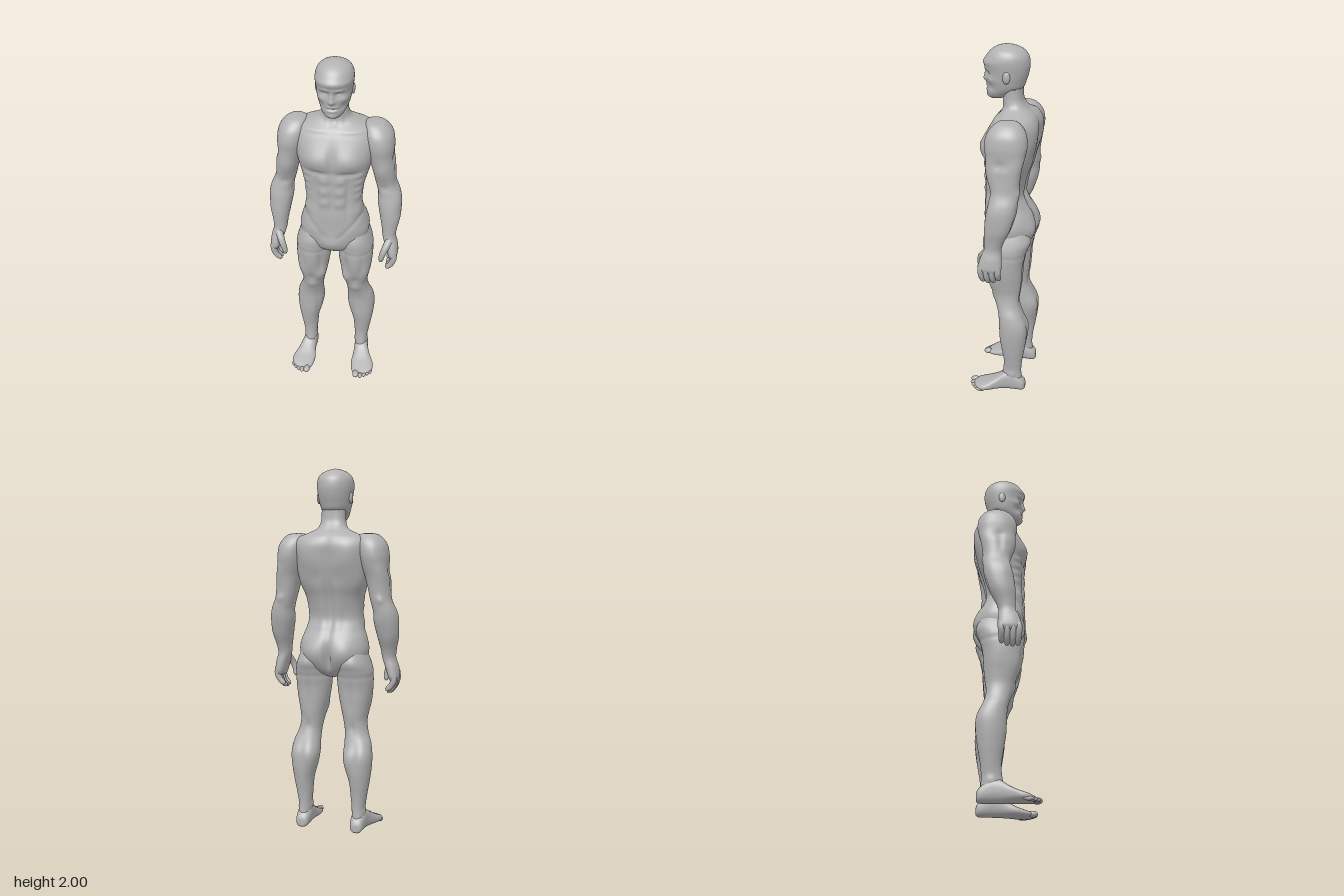
import * as THREE from 'three';
import { mergeVertices } from 'three/addons/utils/BufferGeometryUtils.js';

const skin = new THREE.MeshStandardMaterial({ color: 0xb2b2b2 });
skin.name = 'plain grey';

const spline = (a, b, c, d, t) =>
  0.5 * (2 * b + (c - a) * t + (2 * a - 5 * b + 4 * c - d) * t * t + (3 * b - a - 3 * c + d) * t * t * t);

// Loft through rows [y, centreX, halfWidth, frontZ, backZ].
// Bumps [x, y, z, rx, ry, rz, amount] push the skin out (or in) like muscles.
function loft(rows, { bumps = [], around = 64, steps = 6, power = 0.9 } = {}) {
  if (rows[0][0] > rows[rows.length - 1][0]) rows = [...rows].reverse();
  const last = rows.length - 1, pos = [], index = [];
  const at = (i) => rows[Math.min(last, Math.max(0, i))];
  const rings = last * steps;
  const bend = (v) => Math.sign(v) * Math.abs(v) ** power;
  for (let r = 0; r <= rings; r++) {
    const i = Math.min(last - 1, Math.floor(r / steps)), t = r / steps - i;
    const [y, cx, w, f, b] = at(i).map((_, k) => spline(at(i - 1)[k], at(i)[k], at(i + 1)[k], at(i + 2)[k], t));
    const cz = (f + b) / 2, d = (f - b) / 2;
    for (let j = 0; j < around; j++) {
      const a = (j / around) * Math.PI * 2;
      let dx = w * bend(Math.cos(a)), dz = d * bend(Math.sin(a));
      let push = 0;
      for (const [bx, by, bz, rx, ry, rz, amount] of bumps) {
        const q = ((Math.abs(cx + dx) - bx) / rx) ** 2 + ((y - by) / ry) ** 2 + ((cz + dz - bz) / rz) ** 2;
        if (q < 9) push += amount * Math.exp(-q);
      }
      const s = 1 + push / (Math.hypot(dx, dz) || 1);
      pos.push(cx + dx * s, y, cz + dz * s);
      if (r < rings) {
        const n = (j + 1) % around, A = r * around + j, B = r * around + n;
        index.push(A, A + around, B, B, A + around, B + around);
      }
    }
  }
  // Close both ends
  for (const [row, start, top] of [[rows[0], 0, false], [rows[last], rings * around, true]]) {
    const c = pos.length / 3;
    pos.push(row[1], row[0], (row[3] + row[4]) / 2);
    for (let j = 0; j < around; j++) {
      const A = start + j, B = start + (j + 1) % around;
      index.push(...(top ? [c, B, A] : [c, A, B]));
    }
  }
  const g = new THREE.BufferGeometry();
  g.setAttribute('position', new THREE.Float32BufferAttribute(pos, 3));
  g.setIndex(index);
  g.computeVertexNormals();
  return g;
}

// Apply a reflection and turn the faces outward again
function reflect(geometry, matrix) {
  const g = geometry.clone().applyMatrix4(matrix), ix = g.index.array;
  for (let i = 0; i < ix.length; i += 3) [ix[i], ix[i + 1]] = [ix[i + 1], ix[i]];
  g.computeVertexNormals();
  return g;
}

// Rounded finger along a curve, tapering from r0 to r1
function finger(points, r0, r1) {
  const curve = new THREE.CatmullRomCurve3(points.map((p) => new THREE.Vector3(...p)));
  const n = 18, m = 12, g = new THREE.TubeGeometry(curve, n, 1, m), p = g.attributes.position;
  const v = new THREE.Vector3();
  for (let i = 0; i <= n; i++) {
    const t = i / n, c = curve.getPointAt(t);
    const cap = t > 0.82 ? Math.sqrt(Math.max(0.0004, 1 - ((t - 0.82) / 0.18) ** 2)) : 1;
    for (let j = 0; j <= m; j++) {
      const k = i * (m + 1) + j;
      v.fromBufferAttribute(p, k).sub(c).multiplyScalar((r0 + (r1 - r0) * t) * cap).add(c);
      p.setXYZ(k, v.x, v.y, v.z);
    }
  }
  g.deleteAttribute('uv');
  g.deleteAttribute('normal');
  const merged = mergeVertices(g, 1e-5);
  merged.computeVertexNormals();
  return merged;
}

function ellipsoid(x, y, z, rx, ry, rz) {
  return new THREE.SphereGeometry(1, 20, 14).scale(rx, ry, rz).translate(x, y, z);
}

export function createModel() {
  const model = new THREE.Group();
  model.name = 'muscular figure';
  const add = (name, g) => {
    const mesh = new THREE.Mesh(g, skin);
    mesh.name = name;
    model.add(mesh);
  };
  const flipX = new THREE.Matrix4().makeScale(-1, 1, 1);
  const pair = (name, g) => {
    add('left ' + name, g);
    add('right ' + name, reflect(g, flipX));
  };

  // Torso: chest, abdomen, back, hips and neck
  const torsoBumps = [
    [0.08, 1.48, 0.12, 0.075, 0.06, 0.07, 0.022], [0.09, 1.405, 0.12, 0.07, 0.014, 0.06, -0.012],
    [0, 1.48, 0.13, 0.013, 0.08, 0.06, -0.016], [0.1, 1.625, 0.05, 0.08, 0.01, 0.05, 0.006],
    [0, 1.25, 0.12, 0.008, 0.15, 0.05, -0.008], [0.085, 1.25, 0.1, 0.012, 0.13, 0.05, -0.008],
    [0.13, 1.17, 0.06, 0.04, 0.035, 0.06, 0.008], [0, 0.95, 0.11, 0.045, 0.05, 0.06, 0.016],
    [0, 1.35, -0.15, 0.02, 0.24, 0.08, -0.022], [0.11, 1.53, -0.16, 0.06, 0.08, 0.06, 0.016],
    [0.06, 1.42, -0.16, 0.03, 0.05, 0.06, -0.006], [0.15, 1.4, -0.1, 0.05, 0.08, 0.06, 0.009],
    [0.04, 1.2, -0.1, 0.025, 0.1, 0.05, 0.009], [0.08, 1.0, -0.16, 0.065, 0.07, 0.07, 0.024],
    [0, 0.97, -0.16, 0.014, 0.08, 0.08, -0.04], [0.035, 1.69, 0.01, 0.014, 0.05, 0.03, 0.006],
    [0, 1.66, 0.02, 0.014, 0.02, 0.04, -0.008],
  ];
  for (const y of [1.36, 1.29, 1.22]) torsoBumps.push([0.04, y, 0.12, 0.028, 0.024, 0.05, 0.009]);
  for (let i = 0; i < 4; i++) torsoBumps.push([0.14, 1.39 - i * 0.045, 0.07, 0.025, 0.014, 0.04, 0.007]);
  for (let i = 0; i <= 8; i++) // groin line
    torsoBumps.push([0.155 - i * 0.014, 1.13 - i * 0.016, 0.1, 0.014, 0.012, 0.07, -0.005]);
  add('torso', loft([
    [0.865, 0, 0.03, 0.05, -0.06], [0.9, 0, 0.12, 0.09, -0.12], [0.95, 0, 0.175, 0.11, -0.148],
    [1.02, 0, 0.193, 0.118, -0.158], [1.08, 0, 0.182, 0.118, -0.15], [1.14, 0, 0.161, 0.117, -0.118],
    [1.2, 0, 0.152, 0.112, -0.095], [1.3, 0, 0.16, 0.112, -0.118], [1.38, 0, 0.182, 0.113, -0.148],
    [1.46, 0, 0.203, 0.118, -0.165], [1.53, 0, 0.215, 0.104, -0.172], [1.59, 0, 0.218, 0.078, -0.176],
    [1.63, 0, 0.195, 0.05, -0.162], [1.655, 0, 0.135, 0.025, -0.14], [1.68, 0, 0.085, 0.013, -0.112],
    [1.72, 0, 0.068, 0.015, -0.088], [1.78, 0, 0.066, 0.02, -0.083],
  ], { bumps: torsoBumps, around: 100, steps: 8, power: 0.82 }));

  // Head with brow, eye sockets, nose, mouth and fringe
  add('head', loft([
    [1.717, 0, 0.02, 0.085, 0.04], [1.727, 0, 0.042, 0.1, 0], [1.75, 0, 0.062, 0.106, -0.04],
    [1.78, 0, 0.077, 0.108, -0.085], [1.82, 0, 0.087, 0.109, -0.102], [1.86, 0, 0.093, 0.112, -0.114],
    [1.9, 0, 0.098, 0.117, -0.119], [1.94, 0, 0.095, 0.108, -0.113], [1.97, 0, 0.078, 0.084, -0.09],
    [1.99, 0, 0.045, 0.05, -0.052], [2.0, 0, 0.01, 0.012, -0.012],
  ], { around: 84, steps: 8, power: 0.95, bumps: [
    [0.036, 1.853, 0.1, 0.022, 0.015, 0.05, -0.015], [0.036, 1.848, 0.1, 0.012, 0.007, 0.04, 0.006],
    [0.035, 1.877, 0.105, 0.03, 0.008, 0.04, 0.006], [0, 1.835, 0.12, 0.011, 0.026, 0.05, 0.014],
    [0, 1.815, 0.12, 0.016, 0.012, 0.05, 0.013], [0, 1.775, 0.11, 0.028, 0.005, 0.04, -0.008],
    [0, 1.764, 0.11, 0.022, 0.006, 0.04, 0.005], [0, 1.786, 0.11, 0.024, 0.006, 0.04, 0.004],
    [0, 1.735, 0.1, 0.022, 0.014, 0.04, 0.006], [0.062, 1.825, 0.075, 0.022, 0.016, 0.04, 0.006],
    [0.055, 1.785, 0.08, 0.02, 0.02, 0.04, -0.007], [0, 1.912, 0.12, 0.1, 0.018, 0.09, 0.011],
  ] }));
  pair('ear', ellipsoid(0.091, 1.845, -0.015, 0.011, 0.032, 0.02).rotateX(0));

  // Arm: shoulder to wrist and palm
  pair('arm', loft([
    [1.655, 0.2, 0.015, -0.03, -0.065], [1.645, 0.207, 0.052, 0.01, -0.11], [1.6, 0.222, 0.077, 0.05, -0.147],
    [1.54, 0.234, 0.078, 0.064, -0.158], [1.48, 0.242, 0.071, 0.056, -0.148], [1.42, 0.255, 0.067, 0.046, -0.132],
    [1.36, 0.265, 0.061, 0.038, -0.127], [1.3, 0.275, 0.057, 0.025, -0.125], [1.24, 0.294, 0.061, 0.03, -0.123],
    [1.18, 0.3, 0.065, 0.042, -0.115], [1.1, 0.307, 0.057, 0.05, -0.09], [1.03, 0.307, 0.043, 0.05, -0.055],
    [0.98, 0.308, 0.037, 0.052, -0.04], [0.93, 0.322, 0.036, 0.072, -0.044], [0.88, 0.333, 0.03, 0.082, -0.046],
    [0.855, 0.333, 0.02, 0.07, -0.035],
  ], { bumps: [
    [0.31, 1.45, -0.03, 0.03, 0.025, 0.04, -0.01], [0.255, 1.4, 0.05, 0.04, 0.05, 0.04, 0.01],
    [0.29, 1.43, -0.13, 0.04, 0.06, 0.04, 0.008], [0.32, 1.39, -0.03, 0.02, 0.06, 0.02, -0.006],
    [0.345, 1.21, 0, 0.03, 0.05, 0.04, 0.006], [0.265, 1.285, 0.03, 0.03, 0.02, 0.03, -0.007],
    [0.285, 1.3, -0.12, 0.02, 0.02, 0.03, 0.008], [0.31, 1.15, -0.1, 0.012, 0.08, 0.03, -0.005],
  ] }));
  for (let i = 0; i < 4; i++) {
    const z = 0.062 - i * 0.029, drop = [0.005, 0, 0.004, 0.018][i];
    pair('finger ' + (i + 1), finger([[0.338, 0.9, z], [0.342, 0.86, z * 1.05],
      [0.327, 0.81 + drop, z], [0.297, 0.78 + drop, z * 0.95]], 0.019, 0.014));
  }
  pair('thumb', finger([[0.313, 0.965, 0.04], [0.29, 0.92, 0.075], [0.275, 0.875, 0.083], [0.272, 0.835, 0.075]], 0.023, 0.013));

  // Leg: thigh, knee, calf and ankle
  pair('leg', loft([
    [1.04, 0.11, 0.06, 0.07, -0.12], [0.96, 0.115, 0.087, 0.105, -0.158], [0.9, 0.12, 0.098, 0.104, -0.142],
    [0.82, 0.121, 0.097, 0.095, -0.123], [0.75, 0.122, 0.088, 0.085, -0.118], [0.68, 0.123, 0.074, 0.07, -0.113],
    [0.62, 0.126, 0.064, 0.05, -0.105], [0.56, 0.136, 0.064, 0.03, -0.106], [0.5, 0.148, 0.074, 0.014, -0.125],
    [0.43, 0.153, 0.079, 0.009, -0.15], [0.36, 0.158, 0.071, 0.006, -0.152], [0.28, 0.163, 0.055, -0.006, -0.14],
    [0.2, 0.16, 0.044, -0.018, -0.126], [0.13, 0.158, 0.036, -0.014, -0.12], [0.06, 0.16, 0.036, 0, -0.125],
  ], { around: 72, steps: 7, bumps: [
    [0.072, 0.69, 0.05, 0.028, 0.045, 0.05, 0.014], [0.18, 0.73, 0.05, 0.03, 0.07, 0.05, 0.01],
    [0.125, 0.8, 0.1, 0.03, 0.09, 0.05, 0.008], [0.125, 0.67, 0.07, 0.022, 0.03, 0.04, -0.008],
    [0.07, 0.79, 0.08, 0.016, 0.07, 0.06, -0.011], [0.165, 0.76, 0.09, 0.012, 0.06, 0.04, -0.006],
    [0.127, 0.6, 0.05, 0.028, 0.028, 0.04, 0.009], [0.12, 0.74, -0.12, 0.014, 0.1, 0.05, -0.01],
    [0.127, 0.59, -0.1, 0.02, 0.03, 0.04, -0.008], [0.11, 0.42, -0.13, 0.03, 0.07, 0.05, 0.01],
    [0.195, 0.45, -0.12, 0.03, 0.07, 0.05, 0.008], [0.155, 0.4, -0.15, 0.012, 0.07, 0.04, -0.006],
    [0.105, 0.4, -0.02, 0.012, 0.1, 0.03, -0.006], [0.12, 0.875, 0, 0.4, 0.009, 0.4, -0.004],
    [0.125, 0.12, -0.06, 0.015, 0.02, 0.025, 0.006], [0.193, 0.11, -0.07, 0.015, 0.02, 0.025, 0.006],
  ] }));

  // Foot: lofted from heel to toes, so its rows are [z, x, halfWidth, top, bottom]
  const swapYZ = new THREE.Matrix4().set(1, 0, 0, 0, 0, 0, 1, 0, 0, 1, 0, 0, 0, 0, 0, 1);
  pair('foot', reflect(loft([
    [-0.144, 0.16, 0.018, 0.05, 0.012], [-0.13, 0.16, 0.034, 0.075, 0.002], [-0.08, 0.16, 0.041, 0.115, 0],
    [-0.03, 0.164, 0.043, 0.118, 0], [0.02, 0.172, 0.053, 0.085, 0], [0.065, 0.18, 0.067, 0.06, 0],
    [0.105, 0.184, 0.066, 0.045, 0], [0.135, 0.178, 0.052, 0.034, 0.002], [0.155, 0.17, 0.03, 0.026, 0.006],
  ], { around: 44, power: 0.8 }), swapYZ));
  [[0.152, 0.157, 0.019], [0.18, 0.155, 0.014], [0.202, 0.143, 0.013], [0.221, 0.128, 0.012], [0.238, 0.11, 0.012]]
    .forEach(([x, z, r], i) => pair('toe ' + (i + 1), ellipsoid(x, r * 0.9, z, r, r * 0.9, 0.028)));
  return model;
}
